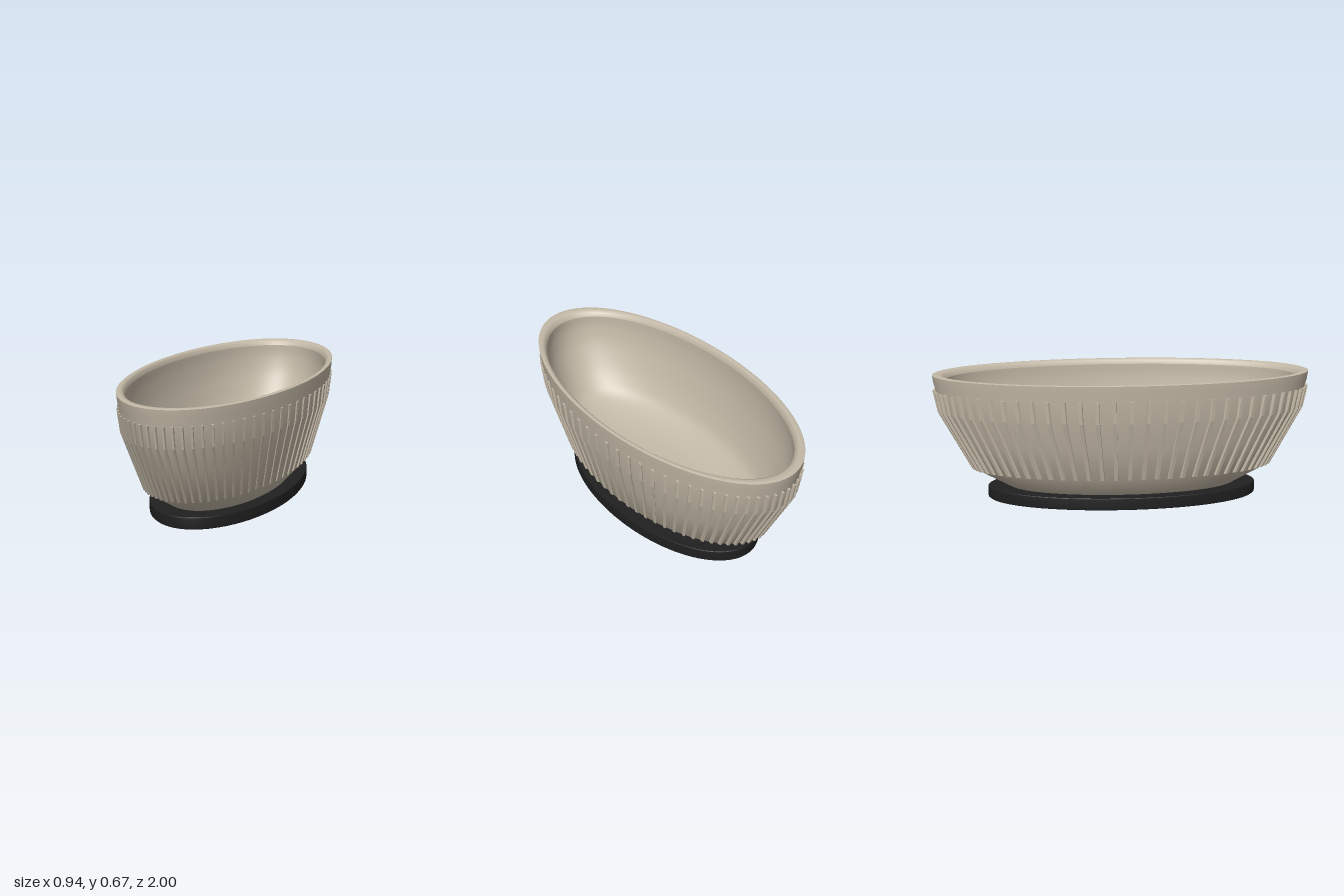
import * as THREE from 'three';
import { mergeGeometries } from 'three/addons/utils/BufferGeometryUtils.js';

const WIDTH = 0.47; // half width of the oval bowl; half length is 1
const points = (list) => list.map(([r, y]) => new THREE.Vector2(r, y));

export function createModel() {
  const stone = new THREE.MeshStandardMaterial({ color: 0xc4b9a7 });
  stone.name = 'warm stone';
  const black = new THREE.MeshStandardMaterial({ color: 0x202020 });
  black.name = 'matte black';

  const model = new THREE.Group();
  model.name = 'ovalBasin';

  const add = (name, geometry, material) => {
    const mesh = new THREE.Mesh(geometry, material);
    mesh.name = name;
    model.add(mesh);
  };
  const oval = (name, profile, width, material) =>
    add(name, new THREE.LatheGeometry(points(profile), 128).scale(width, 1, 1), material);

  // Outer wall, from the foot to the lip
  oval('outerWall', [[0, 0.06], [0.6, 0.06]], WIDTH, stone);
  oval('outerShell', [
    [0.6, 0.06], [0.787, 0.16], [0.88, 0.325], [0.962, 0.47],
    [0.982, 0.58], [0.994, 0.62], [1, 0.662],
  ], WIDTH, stone);

  // Rounded rim
  oval('rim', [[1, 0.662], [0.985, 0.666], [0.96, 0.664], [0.94, 0.655], [0.93, 0.635]], WIDTH, stone);

  // Smooth hollow inside
  const hollow = new THREE.SplineCurve(points([
    [0.93, 0.635], [0.925, 0.56], [0.89, 0.45], [0.8, 0.3], [0.68, 0.2], [0.4, 0.14], [0, 0.12],
  ])).getPoints(32).map((p) => [Math.max(p.x, 0), p.y]);
  oval('innerBowl', hollow, WIDTH, stone);

  // Thin raised ribs following the wall
  const ribShape = new THREE.Shape(points([
    [0.77, 0.16], [0.806, 0.162], [0.977, 0.47], [1, 0.58], [0.965, 0.58], [0.945, 0.47],
  ]));
  const ribGeometry = new THREE.ExtrudeGeometry(ribShape, { depth: 0.02, bevelEnabled: false })
    .translate(0, 0, -0.01);
  const count = 72;
  const ribs = [];
  for (let i = 0; i < count; i++) {
    ribs.push(ribGeometry.clone().rotateY((i / count) * Math.PI * 2));
  }
  add('ribs', mergeGeometries(ribs).scale(WIDTH, 1, 1), stone);

  // Flat oval base plate
  oval('baseUnderside', [[0, 0], [0.712, 0]], 0.5, black);
  oval('baseEdge', [[0.712, 0], [0.72, 0.006], [0.72, 0.058], [0.716, 0.062]], 0.5, black);
  oval('baseTop', [[0.716, 0.062], [0, 0.062]], 0.5, black);

  return model;
}
